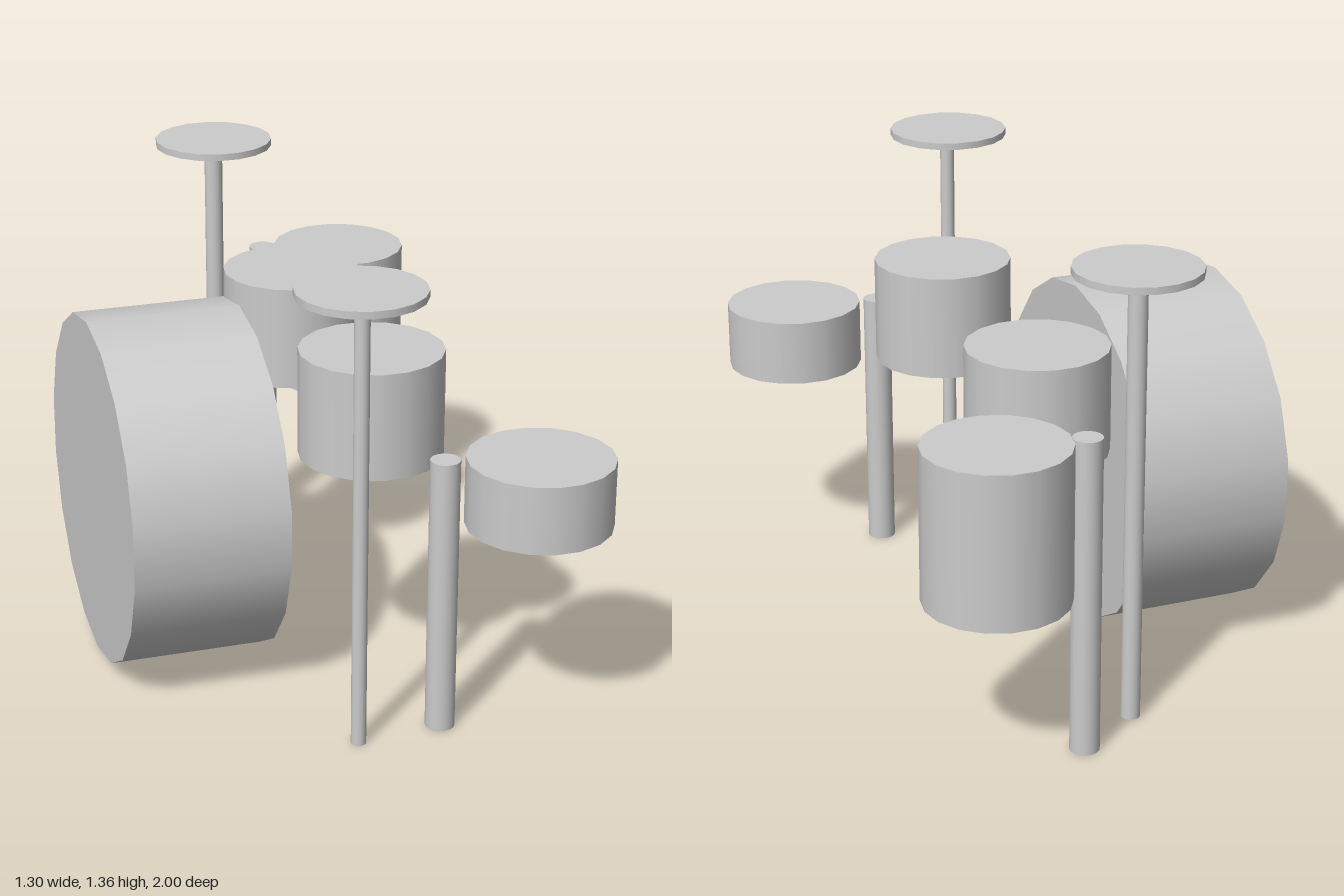
import * as THREE from 'three';

const SIDES = 18;
const material = new THREE.MeshStandardMaterial({ color: 0xcccccc });

export function createModel() {
  const group = new THREE.Group();

  // Upright cylinder from y0 to y1, with a corner pointing along x
  function upright(name, x, z, radius, y0, y1) {
    const geometry = new THREE.CylinderGeometry(radius, radius, y1 - y0, SIDES);
    geometry.rotateY(Math.PI / 2);
    const mesh = new THREE.Mesh(geometry, material);
    mesh.name = name;
    mesh.position.set(x, (y0 + y1) / 2, z);
    group.add(mesh);
  }

  // Bass drum lying along x, with a corner at its top and bottom
  const bass = new THREE.CylinderGeometry(0.525, 0.525, 0.46, SIDES);
  bass.rotateZ(Math.PI / 2);
  // the rim corners start along z, so turn them a quarter
  bass.rotateX(Math.PI / 2);
  const bassDrum = new THREE.Mesh(bass, material);
  bassDrum.name = 'bassDrum';
  bassDrum.position.set(-0.425, 0.537, -0.01);
  group.add(bassDrum);

  // Drums
  upright('frontTom', 0.072, 0.408, 0.21, 0.735, 1.053);
  upright('backTom', 0.072, -0.363, 0.21, 0.717, 1.035);
  upright('snareDrum', 0.439, 0.793, 0.21, 0.63, 0.83);
  upright('floorTom', 0.365, -0.793, 0.21, 0.487, 0.942);

  // Drum stands
  upright('snareStand', 0.18, 0.73, 0.043, 0, 0.83);
  upright('floorTomStand', 0.122, -0.842, 0.043, 0, 0.945);

  // Cymbals and their poles
  upright('frontCymbal', -0.074, 0.744, 0.182, 1.342, 1.363);
  upright('frontCymbalPole', -0.076, 0.76, 0.022, 0, 1.345);
  upright('backCymbal', -0.074, -0.717, 0.182, 1.342, 1.363);
  upright('backCymbalPole', -0.075, -0.717, 0.028, 0, 1.345);

  return group;
}
